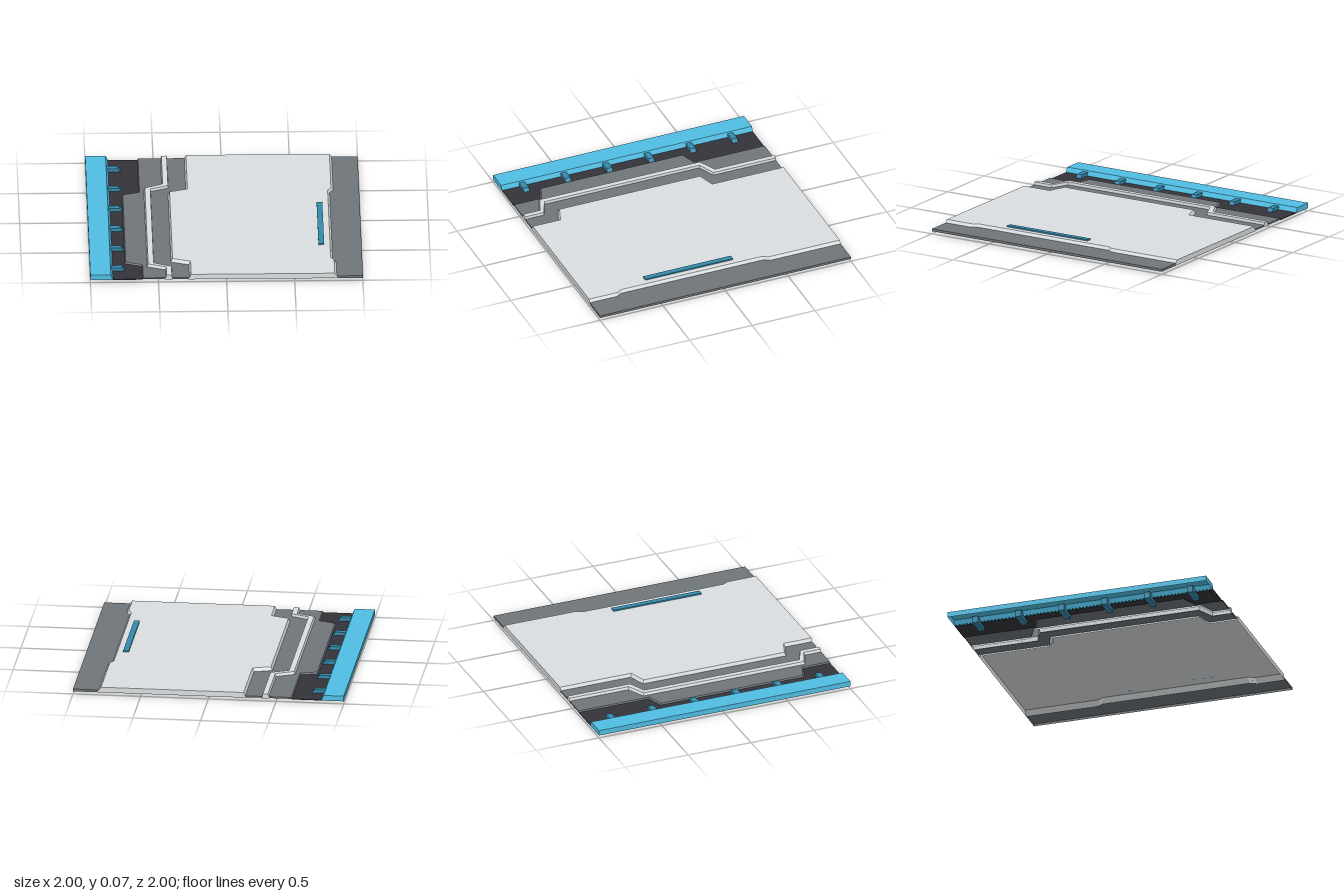
import * as THREE from 'three';

// The panels are thin open-bottomed skins, so both faces show
const mat = (name, color) => {
  const m = new THREE.MeshStandardMaterial({ color, side: THREE.DoubleSide });
  m.name = name;
  return m;
};

// Open-bottomed tray between a left and a right line of [x, z] points.
// Each side is { low, top, wall }; the end walls are always built.
function tray(left, right, y0, y1) {
  const outline = (key) => [...left[key], ...[...right[key]].reverse()];
  const low = outline('low').map(([x, z]) => new THREE.Vector3(x, y0, z));
  const top = outline('top').map(([x, z]) => new THREE.Vector3(x, y1, z));
  const flat = top.map((p) => new THREE.Vector2(p.x, p.z));
  const n = low.length;
  const last = left.top.length - 1;
  const pts = [];
  for (let i = 0; i < n; i++) {
    if (i < last && !left.wall) continue;
    if (i > last && i < n - 1 && !right.wall) continue;
    const j = (i + 1) % n;
    pts.push(low[i], low[j], top[j], low[i], top[j], top[i]);
  }
  for (const [a, b, c] of THREE.ShapeUtils.triangulateShape(flat, [])) {
    // Make the cap face upwards whatever the winding of the triangulation
    const up = (flat[b].x - flat[a].x) * (flat[c].y - flat[a].y)
      < (flat[b].y - flat[a].y) * (flat[c].x - flat[a].x);
    pts.push(top[a], up ? top[b] : top[c], up ? top[c] : top[b]);
  }
  const g = new THREE.BufferGeometry().setFromPoints(pts);
  g.computeVertexNormals();
  return g;
}

// Profile of [x, y] points swept along z
function sweep(profile, depth, z) {
  const shape = new THREE.Shape(profile.map(([x, y]) => new THREE.Vector2(x, y)));
  return new THREE.ExtrudeGeometry(shape, { depth, bevelEnabled: false })
    .translate(0, 0, z - depth / 2);
}

// Lines running from the back edge to the front edge
const jog = (xEnd, xMid, z1, z2, z3, z4) =>
  [[xEnd, -1], [xEnd, z1], [xMid, z2], [xMid, z3], [xEnd, z4], [xEnd, 1]];
const straight = (x) => [[x, -1], [x, 1]];

// Side with its own wall, and a bare edge meeting another side's wall at height t
const wall = (low, top) => ({ low, top, wall: true });
const edge = (line) => ({ low: line, top: line, wall: false });
const meet = ({ low, top }, t) => edge(low.map(([x, z], i) =>
  [x + (top[i][0] - x) * t, z + (top[i][1] - z) * t]));

export function createModel() {
  const model = new THREE.Group();
  const blue = mat('bright blue', 0x50bde3);
  const teal = mat('deep teal', 0x338aaa);
  const light = mat('light grey', 0xdadee0);
  const grey = mat('mid grey', 0x6f7579);
  const dark = mat('charcoal', 0x35333a);
  const add = (name, geometry, material) => {
    const mesh = new THREE.Mesh(geometry, material);
    mesh.name = name;
    model.add(mesh);
  };

  // Jogged walls shared by neighbouring panels
  const floorLeft = wall(jog(-0.618, -0.742, -0.445, -0.405, 0.74, 0.787),
    jog(-0.612, -0.735, -0.437, -0.397, 0.732, 0.779));
  const ridgeLeft = wall(jog(-0.452, -0.585, -0.54, -0.475, 0.82, 0.873),
    jog(-0.44, -0.572, -0.53, -0.465, 0.81, 0.863));
  const ridgeRight = wall(jog(-0.398, -0.528, -0.498, -0.442, 0.787, 0.847),
    jog(-0.402, -0.532, -0.502, -0.446, 0.791, 0.851));
  const slabLeft = wall(jog(-0.28, -0.41, -0.45, -0.407, 0.745, 0.793),
    jog(-0.26, -0.392, -0.432, -0.39, 0.73, 0.778));
  const slabRight = wall(jog(0.822, 0.795, -0.445, -0.405, 0.745, 0.79),
    jog(0.793, 0.768, -0.43, -0.39, 0.73, 0.775));

  // Edge beam and the clips passing under it
  add('edgeBeam', tray(wall(straight(-1), straight(-1)),
    wall(straight(-0.832), straight(-0.85)), 0.02, 0.06), blue);
  for (let i = 0; i < 6; i++) {
    add('clip', sweep([[-0.89, 0], [-0.728, 0], [-0.765, 0.05], [-0.89, 0.05]],
      0.045, -0.824 + i * 0.3325), teal);
  }

  // Charcoal base strip and the raised grey floor on both sides of the ridge
  add('baseStrip', tray(edge(straight(-0.838)), edge(floorLeft.low), 0.02, 0.025), dark);
  add('outerFloor', tray(floorLeft, meet(ridgeLeft, 0.42), 0.024, 0.035), grey);
  add('innerFloor', tray(meet(ridgeRight, 0.42), meet(slabLeft, 0.375), 0.024, 0.035), grey);

  // Jogged ridge and main slab
  add('ridge', tray(ridgeLeft, ridgeRight, 0.02, 0.056), light);
  add('mainSlab', tray(slabLeft, slabRight, 0.02, 0.06), light);

  // Side plate along the opposite edge
  add('sidePlate', tray(meet(slabRight, 0.45), wall(straight(1), straight(1)), 0.02, 0.038), grey);

  // Inlaid strip
  add('inlayStrip', new THREE.BoxGeometry(0.042, 0.01, 0.7).translate(0.704, 0.065, 0.172), teal);
  return model;
}
